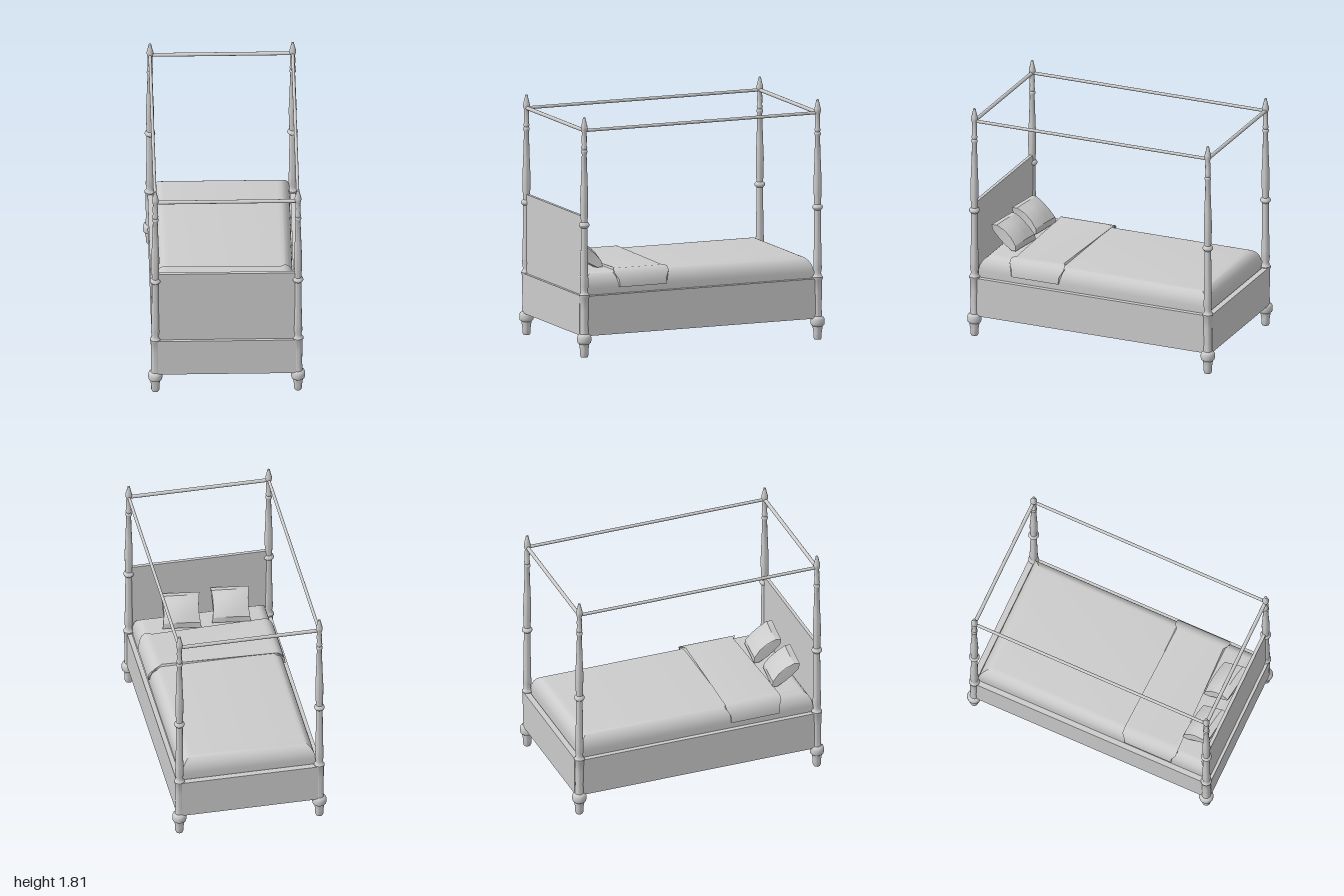
import * as THREE from 'three';
import { toCreasedNormals } from 'three/addons/utils/BufferGeometryUtils.js';

const material = new THREE.MeshStandardMaterial({ color: 0xcccccc });
const POST_X = 0.53, POST_Z = 0.947;

export function createModel() {
  const bed = new THREE.Group();
  bed.name = 'canopyBed';

  const add = (name, geometry, x = 0, y = 0, z = 0) => {
    const mesh = new THREE.Mesh(geometry, material);
    mesh.name = name;
    mesh.position.set(x, y, z);
    bed.add(mesh);
    return mesh;
  };
  const box = (name, w, h, d, x, y, z) => add(name, new THREE.BoxGeometry(w, h, d), x, y, z);

  // Turned post: [radius, height] from foot to finial
  const profile = [
    [0, 0], [0.025, 0], [0.031, 0.015], [0.031, 0.05], [0.037, 0.09], [0.038, 0.1],
    [0.05, 0.11], [0.053, 0.125], [0.053, 0.15], [0.048, 0.165], [0.033, 0.175],
    [0.03, 0.25], [0.033, 0.36], [0.034, 0.45], [0.04, 0.46], [0.04, 0.47], [0.031, 0.48],
    [0.026, 0.5], [0.032, 0.535], [0.03, 0.6], [0.026, 0.8], [0.025, 0.975],
    [0.036, 0.985], [0.04, 0.995], [0.036, 1.008], [0.025, 1.018],
    [0.029, 1.1], [0.03, 1.2], [0.025, 1.32], [0.018, 1.53],
    [0.024, 1.545], [0.024, 1.555], [0.018, 1.565], [0.023, 1.58], [0.018, 1.595],
    [0.02, 1.65], [0.017, 1.69], [0.025, 1.72], [0.025, 1.735], [0.016, 1.77],
    [0.009, 1.805], [0, 1.81],
  ].map(([r, y]) => new THREE.Vector2(r, y));
  const postGeometry = toCreasedNormals(new THREE.LatheGeometry(profile, 24), 0.7);

  for (const s of [-1, 1]) {
    const side = s > 0 ? 'left' : 'right', end = s > 0 ? 'head' : 'foot';
    add(side + 'HeadPost', postGeometry, s * POST_X, 0, POST_Z);
    add(side + 'FootPost', postGeometry, s * POST_X, 0, -POST_Z);

    // Bed frame panels
    box(side + 'SideRail', 0.036, 0.3, 1.87, s * 0.53, 0.31, 0);
    box(end + 'Rail', 1.03, 0.3, 0.045, 0, 0.315, s * 0.957);

    // Canopy rods
    const long = add(side + 'CanopyRod', new THREE.CylinderGeometry(0.012, 0.012, 2 * POST_Z, 12), s * POST_X, 1.708, 0);
    long.rotation.x = Math.PI / 2;
    const cross = add(end + 'CanopyRod', new THREE.CylinderGeometry(0.014, 0.014, 2 * POST_X, 12), 0, 1.708, s * POST_Z);
    cross.rotation.z = Math.PI / 2;
  }
  box('headboard', 1.03, 0.62, 0.025, 0, 0.75, 0.945);
  box('bedBase', 1.03, 0.14, 1.88, 0, 0.38, 0);

  // Mattress with rounded, mitred edges
  const bevel = 0.09, hx = 0.505 - bevel, hz = 0.925 - bevel;
  const outline = new THREE.Shape([[-hx, -hz], [hx, -hz], [hx, hz], [-hx, hz]]
    .map(([x, z]) => new THREE.Vector2(x, z)));
  const mattress = new THREE.ExtrudeGeometry(outline, {
    depth: 0.06, bevelEnabled: true, bevelSize: bevel, bevelThickness: 0.115, bevelSegments: 8,
  });
  mattress.rotateX(-Math.PI / 2);
  add('mattress', toCreasedNormals(mattress, 0.6), 0, 0.445, 0);

  // Folded blanket: a thin band draped across the mattress
  const arc = (grow) => {
    const pts = [new THREE.Vector2(0.505 + grow, 0.505)];
    for (let i = 0; i <= 8; i++) {
      const a = (i / 8) * Math.PI / 2;
      pts.push(new THREE.Vector2(hx + (bevel + grow) * Math.cos(a), 0.505 + (0.115 + grow) * Math.sin(a) + 0.008 * Math.sin(2 * a)));
    }
    return pts.slice(1);
  };
  const across = (half) => [...half, ...half.map((p) => new THREE.Vector2(-p.x, p.y)).reverse()];
  const band = new THREE.Shape([...across(arc(0.015)), ...across(arc(-0.005)).reverse()]);
  const blanket = new THREE.ExtrudeGeometry(band, { depth: 0.38, bevelEnabled: false });
  blanket.translate(0, 0, -0.19);
  const bp = blanket.attributes.position;
  for (let i = 0; i < bp.count; i++) {
    // The fold flares where it turns over the mattress edge
    const flare = 0.028 * THREE.MathUtils.smoothstep(bp.getY(i), 0.55, 0.61) * THREE.MathUtils.smoothstep(Math.abs(bp.getX(i)), 0.415, 0.45);
    bp.setZ(i, bp.getZ(i) + Math.sign(bp.getZ(i)) * flare);
  }
  add('foldedBlanket', toCreasedNormals(blanket, 0.6), 0, 0, 0.462);

  // Faceted pillows: lens section with pinched ends, leaning on the headboard
  const lens = new THREE.Shape([
    [-0.135, 0], [-0.105, -0.04], [-0.035, -0.06], [0.035, -0.06], [0.105, -0.04],
    [0.135, 0], [0.105, 0.04], [0.035, 0.06], [-0.035, 0.06], [-0.105, 0.04],
  ].map(([u, v]) => new THREE.Vector2(u, v)));
  const pillow = new THREE.ExtrudeGeometry(lens, { depth: 0.28, steps: 4, bevelEnabled: false });
  pillow.translate(0, 0, -0.14);
  const pp = pillow.attributes.position;
  for (let i = 0; i < pp.count; i++) {
    const u = pp.getX(i) / 0.135, z = pp.getZ(i), t = Math.abs(z) / 0.14;
    pp.setY(i, pp.getY(i) * (1 - 0.3 * t * t));
    pp.setZ(i, z * (0.93 + 0.1 * u * u));
  }
  pillow.rotateY(Math.PI / 2);
  pillow.computeVertexNormals();
  // Section axis now runs along -z; tilt it up toward the headboard
  pillow.rotateX(Math.PI - 0.69);
  const pillowGeometry = toCreasedNormals(pillow, 0.3);
  for (const [name, x] of [['rightPillow', -0.21], ['leftPillow', 0.165]]) {
    const mesh = add(name, pillowGeometry, x, 0.715, 0.79);
    mesh.rotation.y = -0.13;
  }
  return bed;
}
